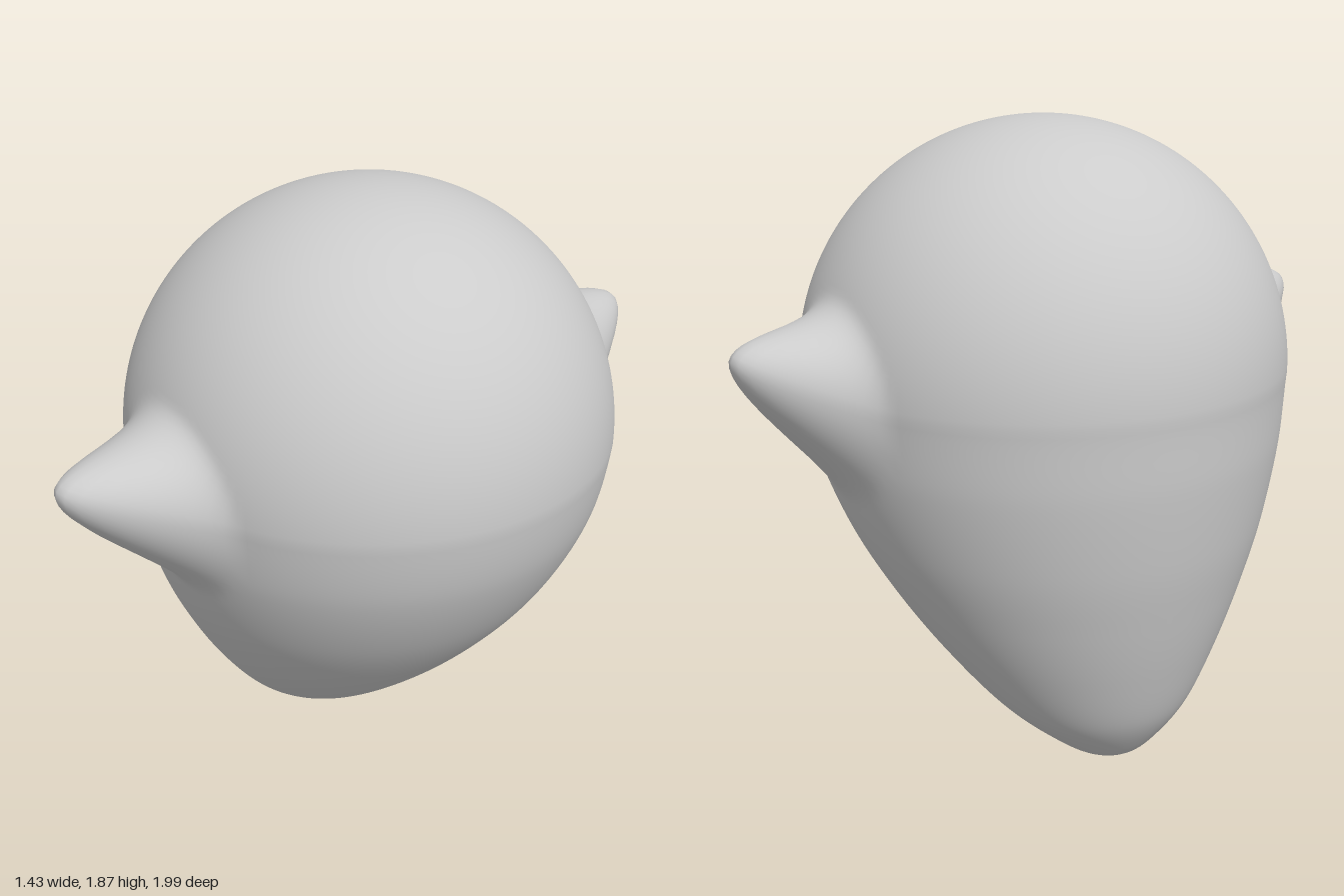
import * as THREE from 'three';
import { mergeVertices } from 'three/addons/utils/BufferGeometryUtils.js';

const RADIUS = 0.715, WAIST = 1.155, Z_SHIFT = -0.02;

// Horns drawn out of the skin: base centre, reach, and how far the tip leans up.
const HORNS = [
  { side: 1, x: 0, y: 1.13, size: 0.285, reach: 0.305, lean: 0.13 },
  { side: -1, x: 0.06, y: 1.14, size: 0.29, reach: 0.265, lean: 0.14 },
];

// Radius against height: a tapering lower half under a spherical dome.
function bodyProfile() {
  const taper = new THREE.SplineCurve([
    [0, 0], [0.09, 0.019], [0.178, 0.075], [0.303, 0.19], [0.428, 0.36],
    [0.535, 0.54], [0.624, 0.73], [0.69, 0.95], [RADIUS, WAIST],
  ].map(([r, y]) => new THREE.Vector2(r, y)));
  const points = taper.getSpacedPoints(70);
  points[0].x = 0;
  const steps = 60;
  for (let i = 1; i <= steps; i++) {
    const a = (i / steps) * Math.PI / 2;
    points.push(new THREE.Vector2(i === steps ? 0 : RADIUS * Math.cos(a), WAIST + RADIUS * Math.sin(a)));
  }
  return points;
}

export function createModel() {
  const group = new THREE.Group();
  group.name = 'hornedDrop';

  let geometry = new THREE.LatheGeometry(bodyProfile(), 160);
  const pos = geometry.attributes.position;
  for (let i = 0; i < pos.count; i++) {
    let x = pos.getX(i), y = pos.getY(i), z = pos.getZ(i) + Z_SHIFT;

    // Sweep the lower point over to one side
    const depth = Math.max(0, 1 - y / WAIST);
    x -= 0.32 * Math.pow(depth, 1.8);

    // Pull the horns out with a smooth falloff
    for (const h of HORNS) {
      const r = Math.hypot(x - h.x, y - h.y);
      if (z * h.side <= 0 || r >= h.size) continue;
      const w = 1 - THREE.MathUtils.smoothstep(r, 0, h.size);
      z += h.side * h.reach * w;
      y += h.lean * w;
      break;
    }
    pos.setXYZ(i, x, y, z);
  }

  // Weld the seam and poles so the shading is smooth all round
  geometry.deleteAttribute('uv');
  geometry.deleteAttribute('normal');
  geometry = mergeVertices(geometry, 1e-5);
  geometry.computeVertexNormals();

  const body = new THREE.Mesh(geometry, new THREE.MeshStandardMaterial({ color: 0xcccccc }));
  body.name = 'bodyWithHorns';
  group.add(body);
  return group;
}
